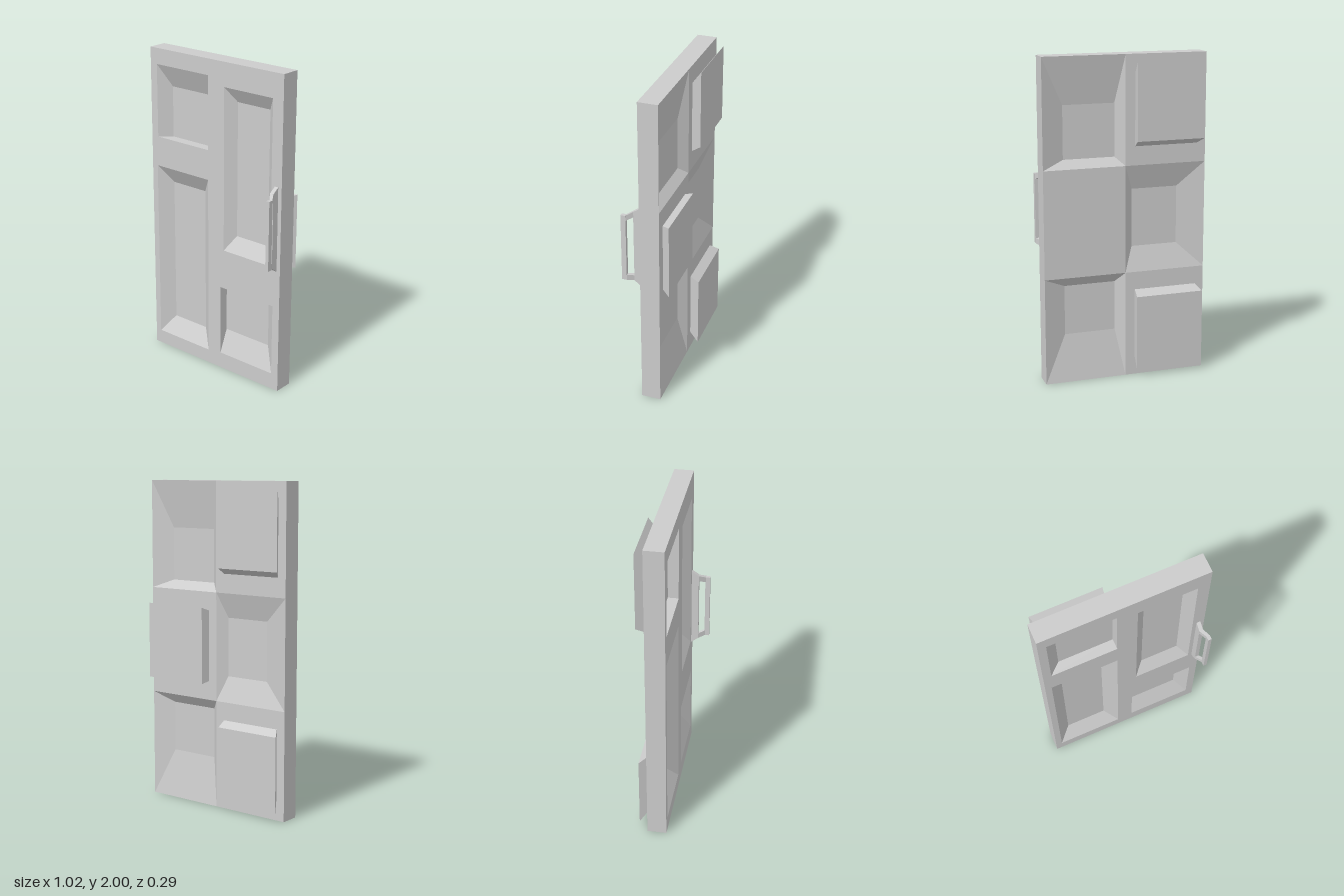
import * as THREE from 'three';

const material = new THREE.MeshStandardMaterial({ color: 0xcccccc, flatShading: true });
const W = 0.51, H = 2, FRONT = 0.03, BACK = -0.09;

function addMesh(parent, name, geometry) {
  const mesh = new THREE.Mesh(geometry, material);
  mesh.name = name;
  parent.add(mesh);
  return mesh;
}

// Four walls joining rectangle a (at z0) to rectangle b (at z1), closed by a cap at b.
// Rectangles are [x0, x1, y0, y1]; facing is the z direction the cap looks towards.
function loft(a, z0, b, z1, facing, cap = true) {
  const corners = ([x0, x1, y0, y1], z) => [[x0, y0, z], [x1, y0, z], [x1, y1, z], [x0, y1, z]];
  const A = corners(a, z0), B = corners(b, z1), pos = [];
  const quad = (p, q, r, s) => {
    const order = facing > 0 ? [p, q, r, p, r, s] : [p, r, q, p, s, r];
    order.forEach((v) => pos.push(...v));
  };
  for (let i = 0; i < 4; i++) {
    const j = (i + 1) % 4;
    quad(A[i], A[j], B[j], B[i]);
  }
  if (cap) quad(...B);
  const g = new THREE.BufferGeometry();
  g.setAttribute('position', new THREE.Float32BufferAttribute(pos, 3));
  g.computeVertexNormals();
  return g;
}

function rectPath(path, [x0, x1, y0, y1]) {
  path.moveTo(x0, y0).lineTo(x1, y0).lineTo(x1, y1).lineTo(x0, y1).closePath();
  return path;
}

export function createModel() {
  const model = new THREE.Group();
  model.name = 'door';
  const outline = [-W, W, 0, H];

  // Edge of the slab
  addMesh(model, 'slabEdge', loft(outline, FRONT, outline, BACK, -1, false));

  // Front face with four sunken panels: opening, floor, floor depth
  const frontPanels = [
    [[-0.46, -0.05, 1.44, 1.90], [-0.39, -0.05, 1.44, 1.76], -0.035],
    [[-0.47, -0.05, 0.09, 1.25], [-0.39, -0.13, 0.20, 1.14], -0.035],
    [[0.075, 0.435, 0.82, 1.85], [0.135, 0.375, 0.915, 1.76], -0.025],
    [[0.05, 0.46, 0.105, 0.565], [0.05, 0.385, 0.25, 0.565], -0.03],
  ];
  const face = rectPath(new THREE.Shape(), outline);
  frontPanels.forEach(([rim, floor, z]) => {
    face.holes.push(rectPath(new THREE.Path(), rim));
    addMesh(model, 'frontPanel', loft(rim, FRONT, floor, z, 1));
  });
  addMesh(model, 'frontFace', new THREE.ShapeGeometry(face)).position.z = FRONT;

  // Back face: two columns of three cells, alternately sunken and raised
  const low = H / 3, high = 2 * H / 3;
  const sunken = [
    [[0, W, high, H], [0.055, 0.375, 1.385, 1.71]],
    [[-W, 0, low, high], [-0.345, -0.055, 0.82, 1.18]],
    [[0, W, 0, low], [0.055, 0.375, 0.295, 0.605]],
  ];
  sunken.forEach(([rim, floor]) => addMesh(model, 'backPanel', loft(rim, BACK, floor, -0.041, -1)));

  const raised = [
    [[-W, 0, high, H], [-0.455, -0.06, 1.45, 1.89], [-0.485, -0.058, 1.485, 1.96]],
    [[0, W, low, high], [0.058, 0.45, 0.785, 1.22], [0.07, 0.495, 0.77, 1.24]],
    [[-W, 0, 0, low], [-0.455, -0.06, 0.12, 0.555], [-0.485, -0.058, 0.05, 0.52]],
  ];
  raised.forEach(([cell, base, top]) => {
    addMesh(model, 'backFace', loft(cell, BACK, cell, BACK, -1));
    addMesh(model, 'raisedBlock', loft(base, BACK, top, -0.143, -1));
  });

  // Handle: tapered mounting plate, two cranked arms and a grip
  const handle = new THREE.Group();
  handle.name = 'handle';
  model.add(handle);
  addMesh(handle, 'mountingPlate',
    loft([0.46, 0.485, 0.80, 1.33], FRONT, [0.46, 0.485, 0.835, 1.30], 0.075, 1));
  [[0.835, 0.87, 0.845, 0.88], [1.265, 1.30, 1.245, 1.28]].forEach(([a0, a1, b0, b1]) => {
    addMesh(handle, 'arm', loft([0.46, 0.485, a0, a1], 0.074, [0.488, 0.51, b0, b1], 0.116, 1));
  });
  addMesh(handle, 'grip', new THREE.BoxGeometry(0.022, 0.435, 0.03)).position.set(0.499, 1.0625, 0.128);

  return model;
}
